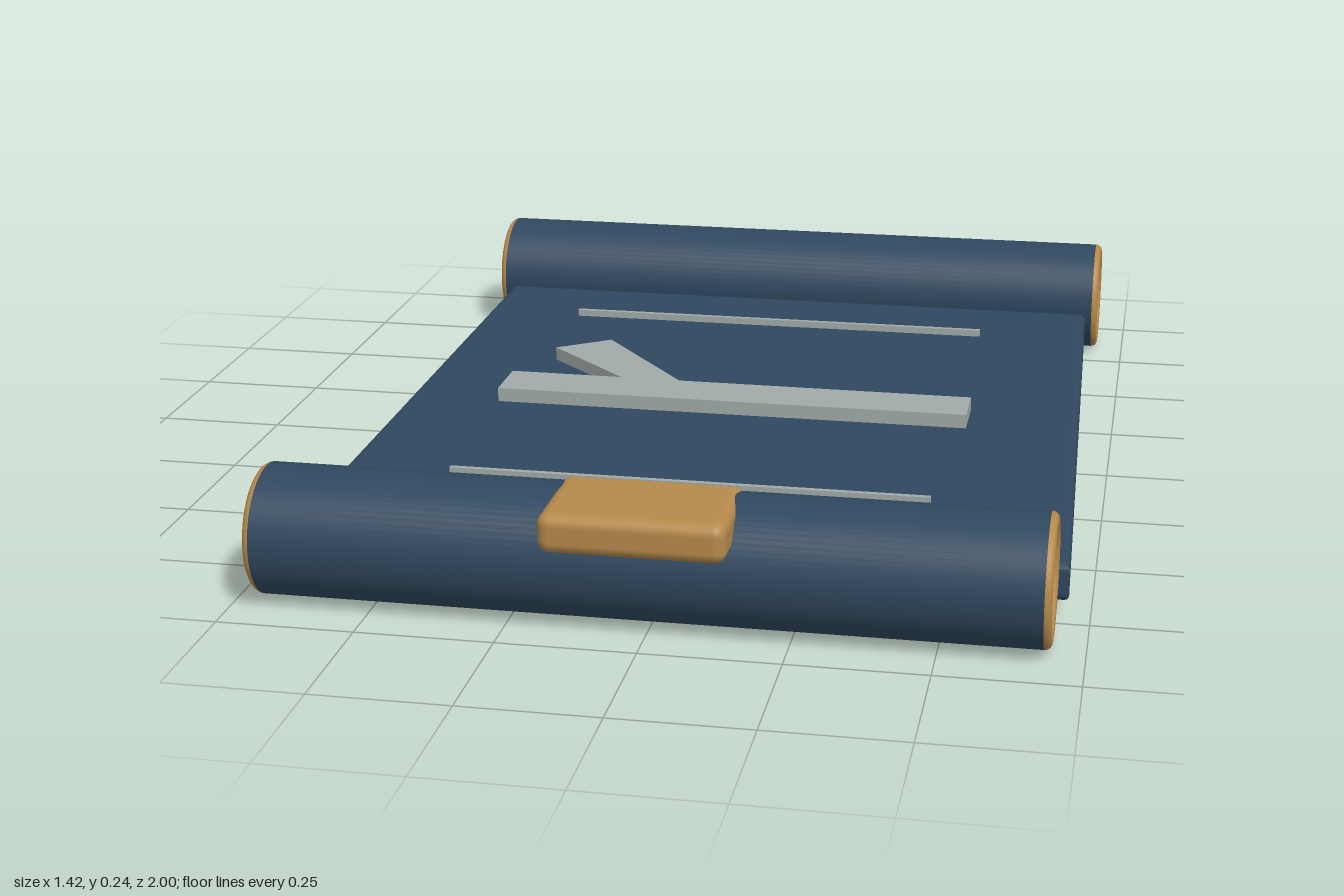
import * as THREE from 'three';
import { RoundedBoxGeometry } from 'three/addons/geometries/RoundedBoxGeometry.js';

const material = (name, color) => {
  const m = new THREE.MeshStandardMaterial({ color });
  m.name = name;
  return m;
};

// Horizontal slab with an x/z outline, between two heights
function slab(points, bottom, top, bevel = 0) {
  const shape = new THREE.Shape(points.map(([x, z]) => new THREE.Vector2(x, -z)));
  const geometry = new THREE.ExtrudeGeometry(shape, {
    depth: top - bottom - 2 * bevel,
    bevelEnabled: bevel > 0,
    bevelThickness: bevel, bevelSize: bevel, bevelOffset: -bevel, bevelSegments: 4,
  });
  return geometry.rotateX(-Math.PI / 2).translate(0, bottom + bevel, 0);
}

export function createModel() {
  const blue = material('dark blue', 0x2f475e);
  const gold = material('old gold', 0xb5894b);
  const silver = material('pale grey', 0xa0aaa8);

  const model = new THREE.Group();
  model.name = 'scroll';
  const add = (name, geometry, mat, parent = model) => {
    const mesh = new THREE.Mesh(geometry, mat);
    mesh.name = name;
    parent.add(mesh);
    return mesh;
  };

  // Unrolled sheet, a little wider toward the front
  add('sheet', slab([[-0.685, 0.735], [0.712, 0.735], [0.664, -0.85], [-0.685, -0.85]], 0.036, 0.106, 0.014), blue);

  // Rolled ends with gold rims
  const radius = 0.118, rim = 0.013, half = 0.69;
  for (const [name, z] of [['frontRoller', 0.84], ['backRoller', -0.88]]) {
    const roller = new THREE.Group();
    roller.name = name;
    roller.position.set(-0.01, 0.12, z);
    add('rollerBody', new THREE.CylinderGeometry(radius, radius, 2 * half, 64).rotateZ(Math.PI / 2), blue, roller);
    for (const side of [-1, 1]) {
      const ring = add('endRing', new THREE.TorusGeometry(radius - rim, rim, 16, 64).rotateY(Math.PI / 2), gold, roller);
      ring.position.x = side * half;
    }
    model.add(roller);
  }

  // Clasp resting on the front roller
  add('clasp', new RoundedBoxGeometry(0.325, 0.072, 0.21, 5, 0.022), gold).position.set(-0.01, 0.205, 0.895);

  // Raised emblem: long bar and slanted branch
  const emblem = new THREE.Group();
  emblem.name = 'emblem';
  add('emblemBar', slab([[-0.49, 0.075], [0.47, 0.075], [0.47, -0.035], [-0.49, -0.04]], 0.112, 0.14), silver, emblem);
  add('emblemBranch', slab([[-0.24, -0.025], [-0.122, -0.025], [-0.335, -0.29], [-0.44, -0.215]], 0.112, 0.139), silver, emblem);
  model.add(emblem);

  // Thin border lines
  for (const z of [0.51, -0.53]) {
    add('borderLine', new THREE.BoxGeometry(0.91, 0.014, 0.011), silver).position.set(-0.01, 0.123, z);
  }

  return model;
}
